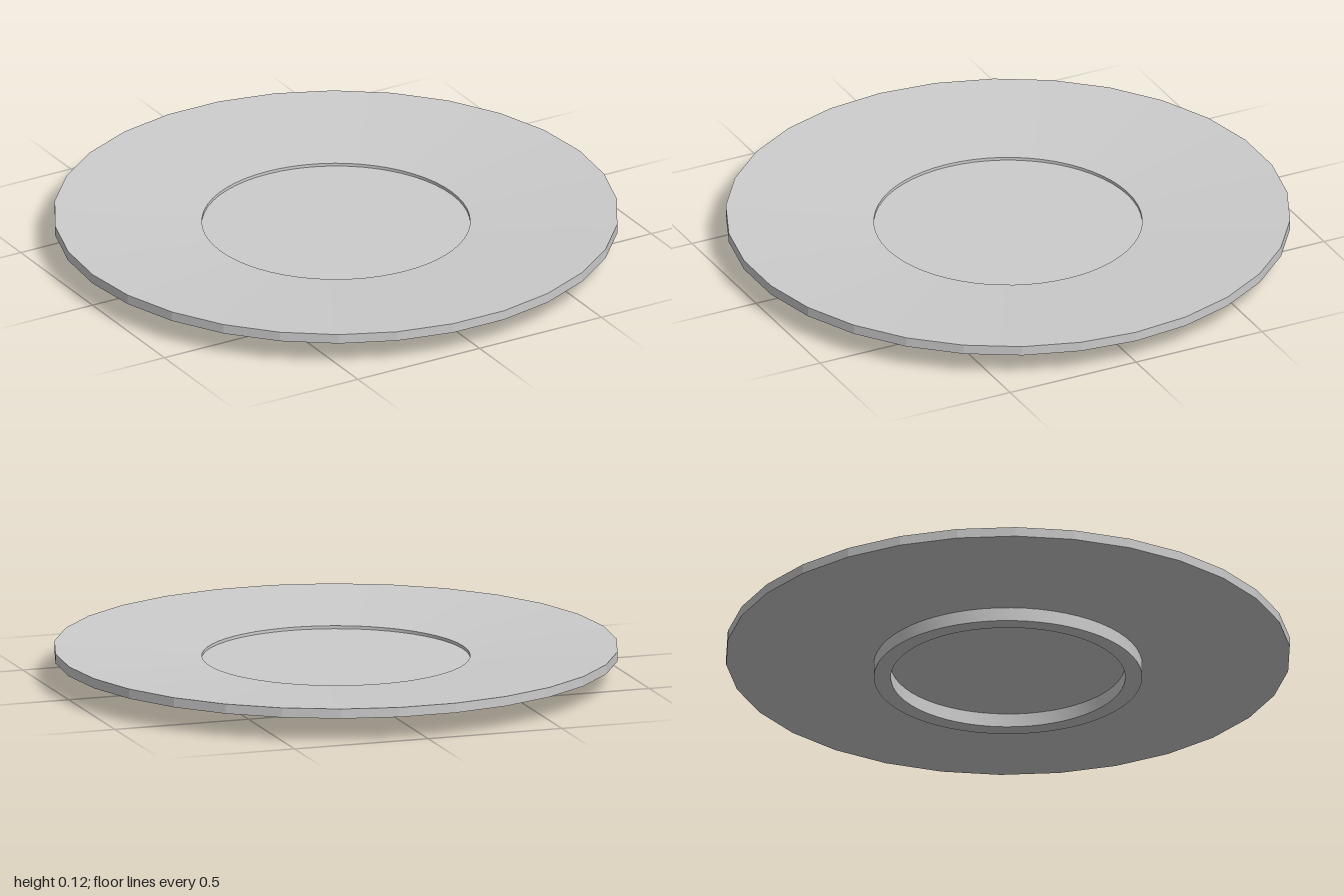
import * as THREE from 'three';
import { toCreasedNormals } from 'three/addons/utils/BufferGeometryUtils.js';

const SIDES = 30; // outer rim is a 30-sided polygon, inner circles have twice as many
const grey = new THREE.MeshStandardMaterial({ color: 0xcccccc });

// Turns a profile of [radius, height] points, with a corner on the x axis
function turned(name, profile) {
  const points = profile.map(([r, y]) => new THREE.Vector2(r, y));
  const geometry = new THREE.LatheGeometry(points, SIDES * 2, Math.PI / 2);
  const pos = geometry.attributes.position;
  // Pull every second rim vertex onto the straight side of the polygon
  const flatten = Math.cos(Math.PI / SIDES);
  for (let i = 0; i < pos.count; i++) {
    const segment = Math.floor(i / profile.length);
    if (profile[i % profile.length][0] === 1 && segment % 2 === 1) {
      pos.setX(i, pos.getX(i) * flatten);
      pos.setZ(i, pos.getZ(i) * flatten);
    }
  }
  const mesh = new THREE.Mesh(toCreasedNormals(geometry, 0.15), grey);
  mesh.name = name;
  return mesh;
}

export function createModel() {
  const group = new THREE.Group();
  group.name = 'plate';

  // Dish: sloped underside, thin rim, sloped top and shallow sunken well
  group.add(turned('dish', [
    [0, 0.05], [0.475, 0.05], [1, 0.085], [1, 0.12],
    [0.475, 0.086], [0.475, 0.075], [0, 0.075],
  ]));

  // Foot ring under the dish
  group.add(turned('footRing', [
    [0.415, 0.05], [0.415, 0], [0.475, 0], [0.475, 0.05],
  ]));

  return group;
}
